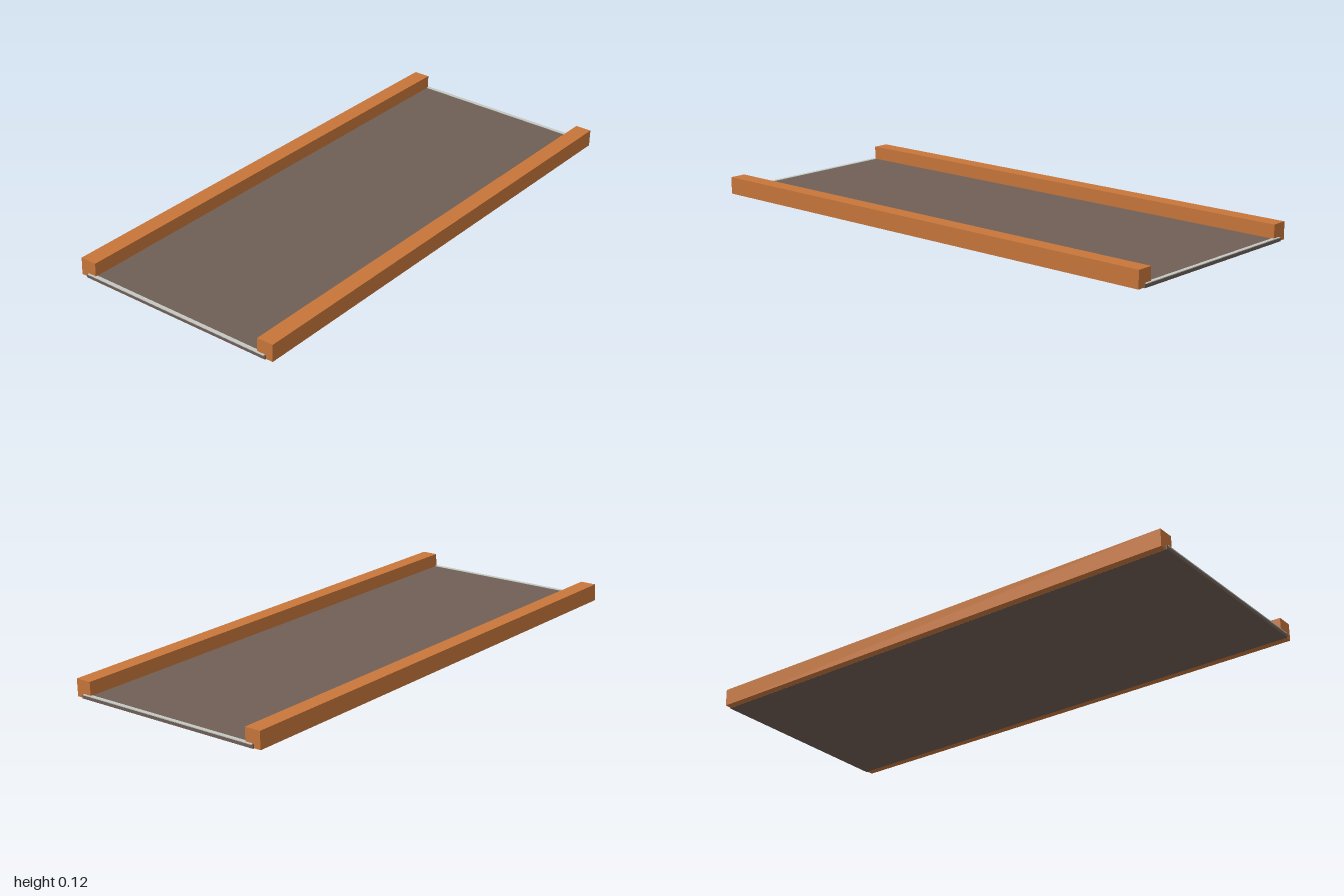
import * as THREE from 'three';

const wood = new THREE.MeshStandardMaterial({ color: 0xc8763a });
wood.name = 'orange wood';
const panel = new THREE.MeshStandardMaterial({ color: 0x705f56 });
panel.name = 'grey brown panel';
const trim = new THREE.MeshStandardMaterial({ color: 0xc4c8c2 });
trim.name = 'pale trim';

// Box given by its centre in x and z and its bottom height
function box(name, material, w, h, d, x, y, z) {
  const mesh = new THREE.Mesh(new THREE.BoxGeometry(w, h, d), material);
  mesh.name = name;
  mesh.position.set(x, y + h / 2, z);
  return mesh;
}

export function createModel() {
  const group = new THREE.Group();
  group.name = 'railedDeck';

  // The whole deck leans slightly: front edge and right-hand side raised
  const tilted = new THREE.Group();
  tilted.name = 'tiltedDeck';
  tilted.rotation.set(-0.0187, 0, -0.0152);
  tilted.position.y = 0.0256;
  group.add(tilted);

  // Flat deck between the rails, a hair below their undersides
  tilted.add(box('deck', panel, 0.8, 0.0145, 1.996, 0, -0.0005, 0));

  // Square side rails
  for (const side of [-1, 1]) {
    const name = side > 0 ? 'leftRail' : 'rightRail';
    tilted.add(box(name, wood, 0.065, 0.066, 1.986, side * 0.3955, 0, 0));
  }

  // Thin pale strips along both ends
  for (const end of [-1, 1]) {
    const name = end > 0 ? 'frontTrim' : 'backTrim';
    tilted.add(box(name, trim, 0.79, 0.003, 0.015, 0, 0.0125, end * 0.9925));
  }
  return group;
}
